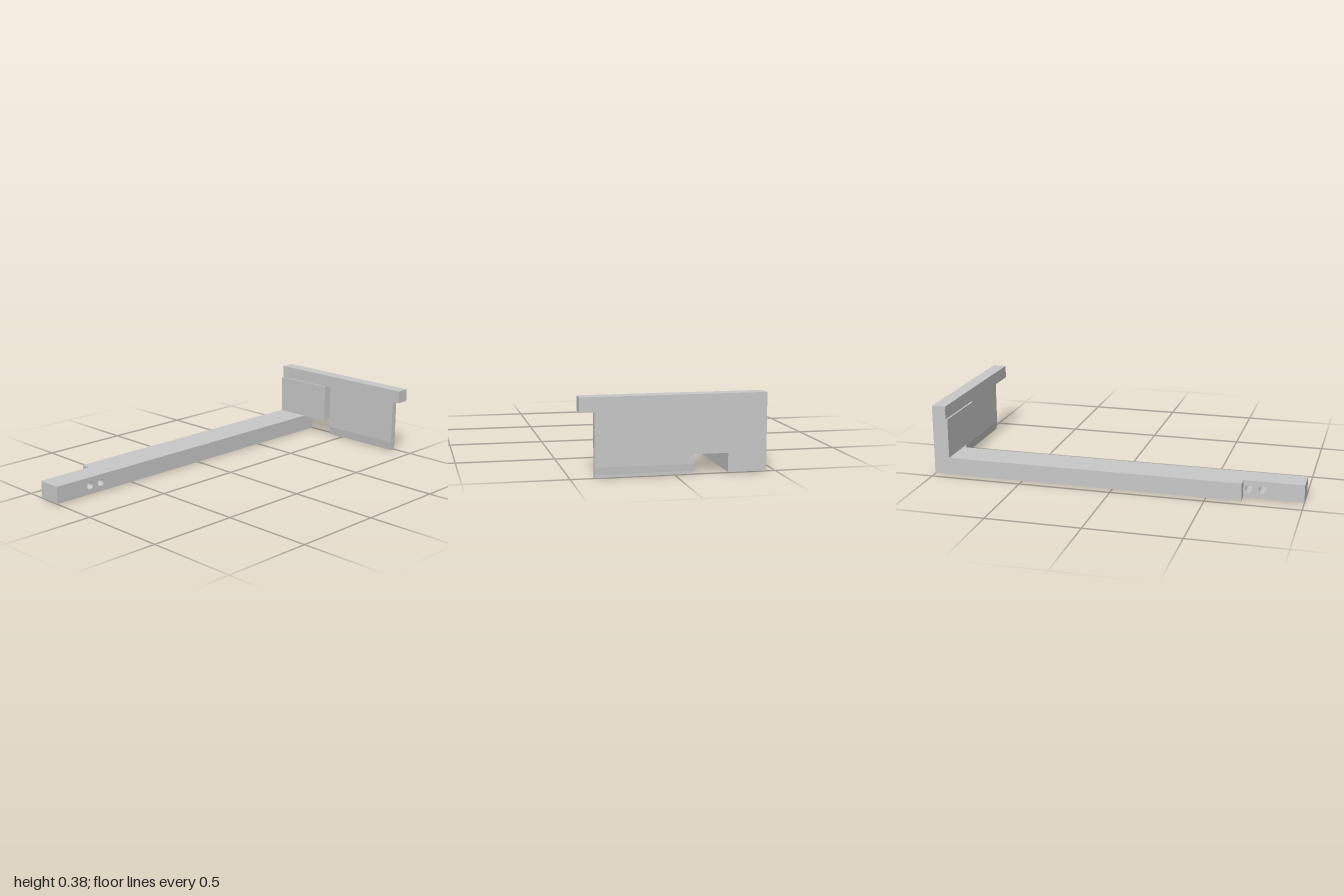
import * as THREE from 'three';
import { toCreasedNormals } from 'three/addons/utils/BufferGeometryUtils.js';

export function createModel() {
  const model = new THREE.Group();
  model.name = 'angledBracket';
  const grey = new THREE.MeshStandardMaterial({ color: 0xc8c8c8 });
  grey.name = 'lightGrey';

  const add = (name, geometry) => {
    const mesh = new THREE.Mesh(geometry, grey);
    mesh.name = name;
    model.add(mesh);
  };

  // box given by its limits on each axis
  const block = (name, x0, x1, y0, y1, z0, z1) => {
    const g = new THREE.BoxGeometry(x1 - x0, y1 - y0, z1 - z0);
    g.translate((x0 + x1) / 2, (y0 + y1) / 2, (z0 + z1) / 2);
    add(name, g);
  };

  // x-y outline with optional round holes, extruded from z0 to z1
  const slab = (points, z0, z1, holes = []) => {
    const shape = new THREE.Shape(points.map(([x, y]) => new THREE.Vector2(x, y)));
    for (const [x, y, r] of holes) {
      shape.holes.push(new THREE.Path().absarc(x, y, r, 0, Math.PI * 2, true));
    }
    const g = new THREE.ExtrudeGeometry(shape, { depth: z1 - z0, bevelEnabled: false, curveSegments: 16 });
    return g.translate(0, 0, z0);
  };

  // long arm, with a thinner drilled end
  const base = 0.002, armTop = 0.096, split = -0.685, armFront = -0.264;
  block('arm', split, 1, base, armTop, -0.455, armFront);
  const drilledEnd = slab([[-1, base], [split, base], [split, armTop], [-1, armTop]],
    -0.4, armFront, [[-0.785, 0.05, 0.02], [-0.714, 0.05, 0.02]]);
  add('drilledEnd', toCreasedNormals(drilledEnd, 0.6));

  // upright wall over the arm, and the rail along its top
  const railBase = 0.313, wallFront = -0.097;
  block('wall', 0.915, 1, armTop, railBase, -0.455, wallFront);
  block('topRail', 0.925, 1, railBase, 0.384, -0.455, 0.455);

  // thin hanging blade, tapering to a small stepped lip
  add('blade', slab([[0.965, railBase], [0.965, 0.05], [0.972, 0], [0.992, 0], [0.992, 0.015],
    [0.997, 0.015], [1, 0.05], [1, railBase]], wallFront, 0.384));

  return model;
}
